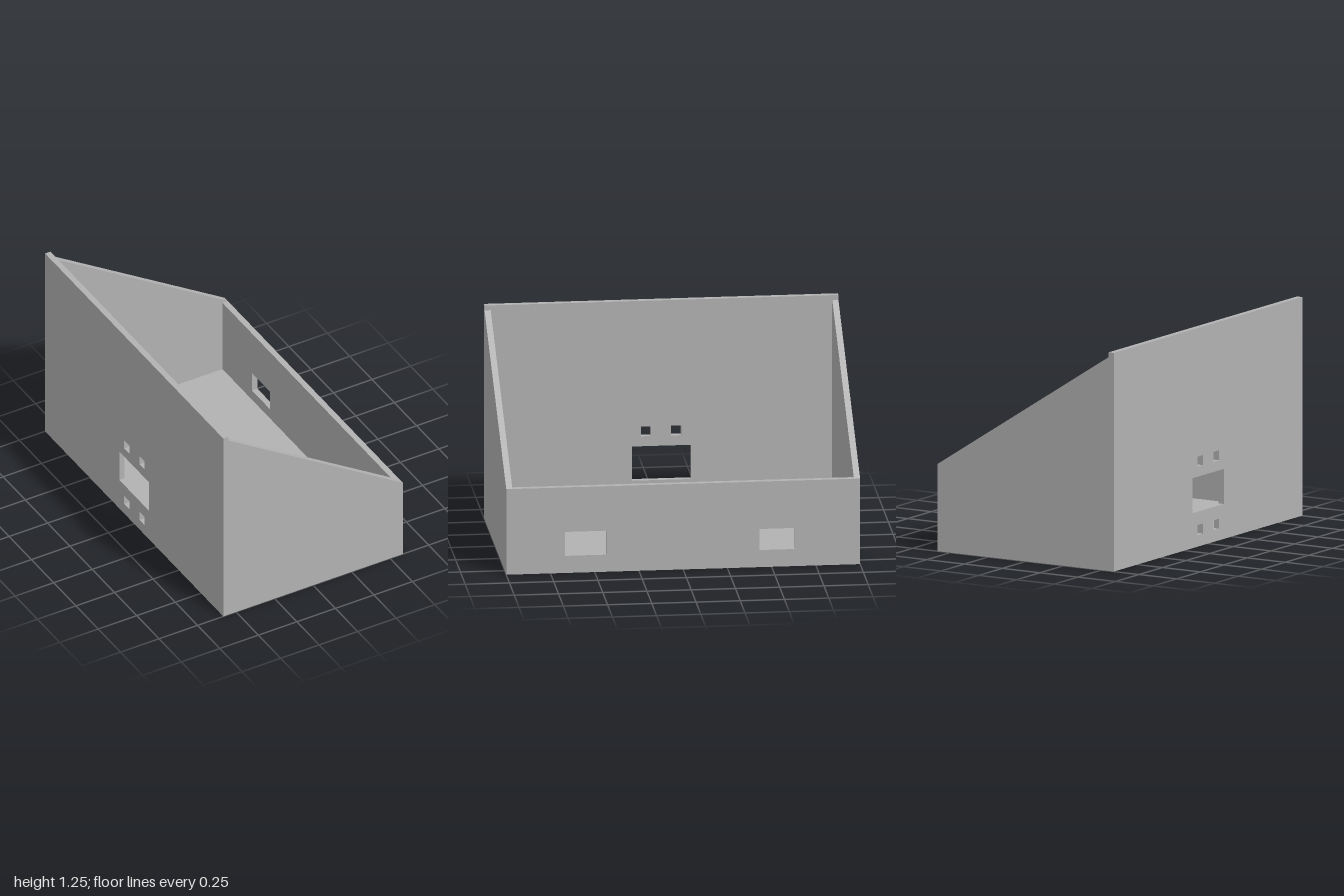
import * as THREE from 'three';

const X = 0.583, Z = 1, WALL = 0.035, FLOOR = 0.035;

export function createModel() {
  const group = new THREE.Group();
  group.name = 'slopedEnclosure';
  const grey = new THREE.MeshStandardMaterial({ color: 0xb2b2b2 });
  grey.name = 'plain grey';

  const add = (name, geometry, x, y, z) => {
    const mesh = new THREE.Mesh(geometry, grey);
    mesh.name = name;
    mesh.position.set(x, y, z);
    group.add(mesh);
  };

  // Wall across z, pierced by rectangular openings [z0, z1, y0, y1]
  const piercedWall = (halfWidth, height, openings) => {
    const rect = (path, z0, z1, y0, y1) => {
      path.moveTo(-z1, y0);
      path.lineTo(-z0, y0);
      path.lineTo(-z0, y1);
      path.lineTo(-z1, y1);
      path.closePath();
      return path;
    };
    const shape = rect(new THREE.Shape(), -halfWidth, halfWidth, 0, height);
    for (const o of openings) shape.holes.push(rect(new THREE.Path(), ...o));
    return new THREE.ExtrudeGeometry(shape, { depth: WALL, bevelEnabled: false }).rotateY(Math.PI / 2);
  };

  // Tall wall: a square opening with four screw slots around it
  const tallOpenings = [[-0.167, 0.167, 0.2, 0.4]];
  for (const [z0, z1] of [[-0.112, -0.055], [0.06, 0.117]])
    for (const y0 of [0.067, 0.458]) tallOpenings.push([z0, z1, y0, y0 + 0.057]);
  add('tallWall', piercedWall(Z, 1.25, tallOpenings), -X, 0, 0);

  // Low wall: two windows
  add('lowWall', piercedWall(Z - WALL, 0.5, [
    [0.433, 0.667, 0.1, 0.24],
    [-0.633, -0.43, 0.1, 0.223],
  ]), X - WALL, 0, 0);

  // Sloped side walls
  const side = new THREE.Shape([
    new THREE.Vector2(-X + WALL, 0),
    new THREE.Vector2(X, 0),
    new THREE.Vector2(X, 0.5),
    new THREE.Vector2(-X + WALL, 1.222),
  ]);
  const sideGeometry = new THREE.ExtrudeGeometry(side, { depth: WALL, bevelEnabled: false });
  add('frontSideWall', sideGeometry, 0, 0, Z - WALL);
  add('backSideWall', sideGeometry, 0, 0, -Z);

  // Floor between the walls
  add('floor', new THREE.BoxGeometry(2 * (X - WALL), FLOOR, 2 * (Z - WALL)), 0, FLOOR / 2, 0);

  return group;
}
